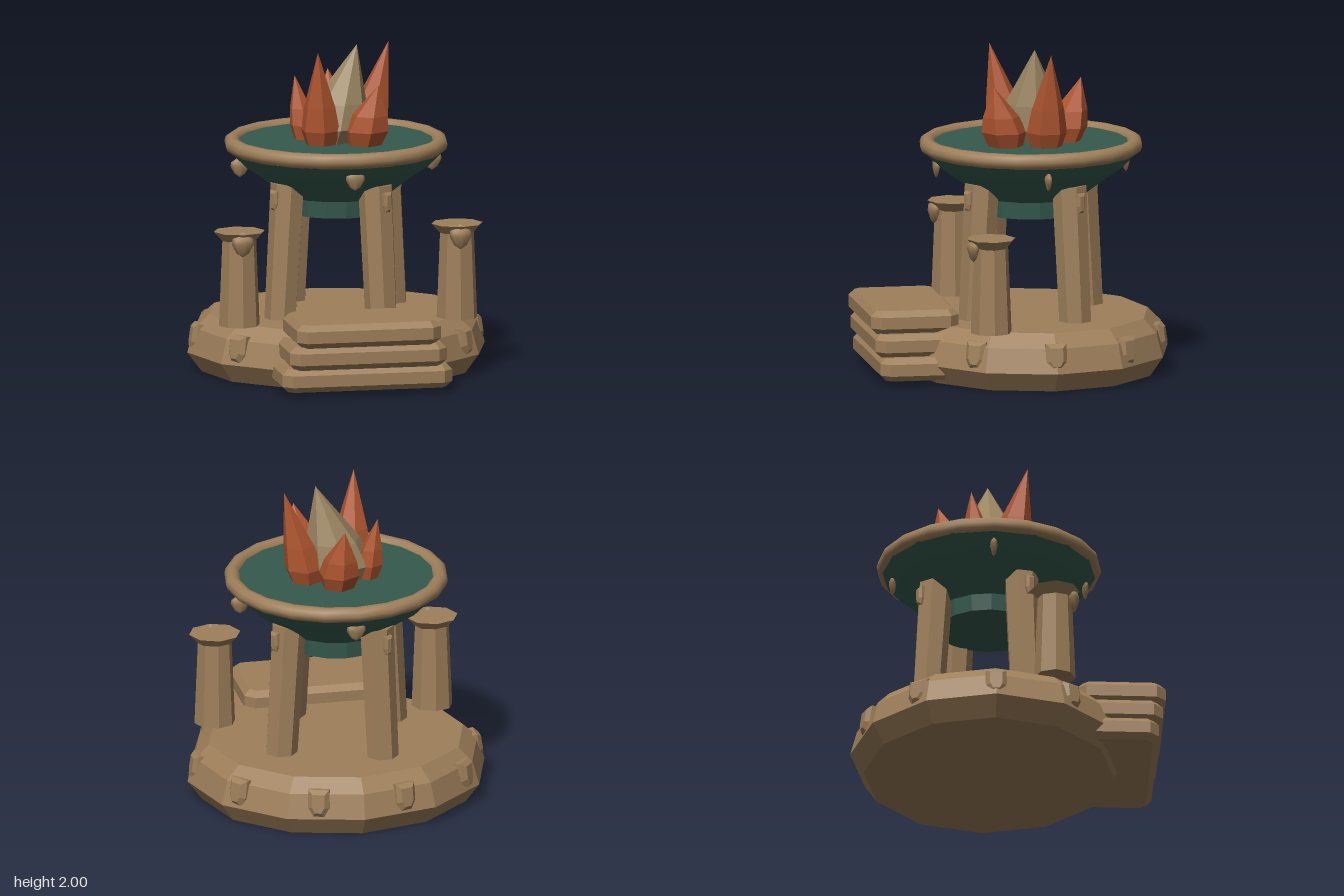
import * as THREE from 'three';

const CZ = -0.11; // z of the monument's axis

const stone = new THREE.MeshStandardMaterial({ color: 0x9e7f5a });
stone.name = 'stone';
const patina = new THREE.MeshStandardMaterial({ color: 0x35594d });
patina.name = 'patina';
const ember = new THREE.MeshStandardMaterial({ color: 0xae552f });
ember.name = 'ember';
const core = new THREE.MeshStandardMaterial({ color: 0x9a8460 });
core.name = 'flameCore';

// Gives a geometry hard facets
function flat(geometry) {
  const g = geometry.index ? geometry.toNonIndexed() : geometry;
  g.computeVertexNormals();
  return g;
}

function lathe(profile, sides) {
  return new THREE.LatheGeometry(profile.map(([r, y]) => new THREE.Vector2(r, y)), sides);
}

function add(parent, name, geometry, material, x = 0, y = 0, z = 0) {
  const mesh = new THREE.Mesh(geometry, material);
  mesh.name = name;
  mesh.position.set(x, y, z);
  parent.add(mesh);
  return mesh;
}

// Slab with every edge chamfered, resting on y = 0
function slab(width, height, depth, c) {
  const w = width / 2 - c, d = depth / 2 - c;
  const shape = new THREE.Shape([
    [w - c, -d], [w, c - d], [w, d - c], [w - c, d],
    [c - w, d], [-w, d - c], [-w, c - d], [c - w, -d],
  ].map(([x, y]) => new THREE.Vector2(x, y)));
  const g = new THREE.ExtrudeGeometry(shape, {
    depth: height - 2 * c, bevelEnabled: true, bevelSize: c, bevelThickness: c, bevelSegments: 1,
  });
  g.rotateX(-Math.PI / 2).translate(0, c, 0);
  return flat(g);
}

// Shield-shaped boss facing +z, centred on the origin
function shield(w, h, d) {
  const b = d * 0.3;
  const x = w / 2 - b, y = h / 2 - b;
  const shape = new THREE.Shape([
    [-x, y], [-x, -y * 0.4], [-x * 0.5, -y], [x * 0.5, -y], [x, -y * 0.4], [x, y],
  ].map(([px, py]) => new THREE.Vector2(px, py)));
  const g = new THREE.ExtrudeGeometry(shape, {
    depth: d - 2 * b, bevelEnabled: true, bevelSize: b, bevelThickness: b, bevelSegments: 1,
  });
  return flat(g.translate(0, 0, b - d / 2));
}

// Faceted crystal whose tip leans away from its foot
function crystal(r, tip, foot, sides) {
  const y0 = 1.4, h = tip[1] - y0;
  const g = lathe([[0, 0], [r * 0.75, 0], [r, 0.1], [r * 0.8, 0.1 + h * 0.25], [0, h]], sides);
  const p = g.attributes.position;
  for (let i = 0; i < p.count; i++) {
    const t = (p.getY(i) / h) ** 1.3;
    p.setX(i, p.getX(i) + (tip[0] - foot[0]) * t);
    p.setZ(i, p.getZ(i) + (tip[2] - foot[1]) * t);
  }
  return flat(g.translate(foot[0], y0, foot[1]));
}

// Leaning six-sided post between two points
function post(bottom, top, r0, r1) {
  const g = new THREE.CylinderGeometry(r1, r0, top.y - bottom.y, 7);
  const p = g.attributes.position, h = top.y - bottom.y;
  for (let i = 0; i < p.count; i++) {
    const t = p.getY(i) / h + 0.5;
    p.setX(i, p.getX(i) + THREE.MathUtils.lerp(bottom.x, top.x, t));
    p.setZ(i, p.getZ(i) + THREE.MathUtils.lerp(bottom.z, top.z, t));
  }
  return flat(g.translate(0, bottom.y + h / 2, 0));
}

// Teardrop knob, flattened front to back
function knob(w, h, d) {
  const g = lathe([[0, 0], [0.28, 0.16], [0.5, 0.52], [0.46, 0.72], [0.2, 0.88], [0, 1]], 8);
  return g.scale(w, h, d);
}

export function createModel() {
  const model = new THREE.Group();
  model.name = 'fireMonument';

  // Twelve-sided plinth, slightly wider than deep
  const plinth = lathe([[0, 0], [0.84, 0], [0.93, 0.12], [0.885, 0.27], [0.795, 0.353], [0, 0.353]], 12);
  add(model, 'plinth', flat(plinth.scale(1, 1, 0.914)), stone, 0, 0, CZ);

  // Ring of bosses around the plinth
  const bossShape = shield(0.13, 0.17, 0.09);
  for (let i = 0; i < 10; i++) {
    const a = (i + 0.5) * Math.PI / 5;
    const boss = add(model, 'plinthBoss', bossShape, stone,
      Math.sin(a) * 0.865, 0.215, CZ + Math.cos(a) * 0.785);
    boss.rotation.order = 'YXZ';
    boss.rotation.set(-0.15, a, 0);
  }

  // Stacked slabs at the front
  [[1.06, 0.03, 0.91], [0.98, 0.17, 0.935], [0.9, 0.31, 0.955]].forEach(([w, y, front]) => {
    add(model, 'frontSlab', slab(w, 0.145, front - 0.41, 0.036), stone, 0, y, (front + 0.41) / 2);
  });

  // Short side pillars with flared caps and knobs
  for (const s of [-1, 1]) {
    const pillar = new THREE.Group();
    pillar.name = s > 0 ? 'leftPillar' : 'rightPillar';
    pillar.position.set(s * 0.68, 0, 0.26);
    model.add(pillar);
    add(pillar, 'pillarShaft', flat(new THREE.CylinderGeometry(0.105, 0.127, 0.55, 8)), stone, 0, 0.625, 0);
    const cap = lathe([[0, 0], [0.09, 0], [0.16, 0.075], [0, 0.075]], 8);
    add(pillar, 'pillarCap', flat(cap.scale(1, 1, 0.94)), stone, 0, 0.86, 0);
    add(pillar, 'pillarKnob', knob(0.14, 0.16, 0.08), stone, 0, 0.79, 0.11);
  }

  // Four leaning legs, each with a small boss near the top
  const legBoss = shield(0.06, 0.12, 0.05);
  for (let i = 0; i < 4; i++) {
    const a = 0.49 + i * Math.PI / 2;
    const at = (r, y) => new THREE.Vector3(Math.sin(a) * r, y, CZ + Math.cos(a) * r);
    add(model, 'leg', post(at(0.44, 0.34), at(0.38, 1.19), 0.1, 0.108), stone);
    const p = at(0.485, 1.09);
    add(model, 'legBoss', legBoss, stone, p.x, p.y, p.z).rotation.y = a;
  }

  // Bowl with a filled top and a rounded rim
  const bowl = lathe([[0, 0.975], [0.31, 0.975], [0.32, 1.08], [0.45, 1.18], [0.57, 1.262],
    [0.655, 1.35], [0.63, 1.41], [0, 1.41]], 16);
  add(model, 'bowl', flat(bowl), patina, 0, 0, CZ);
  const rim = new THREE.TorusGeometry(0.64, 0.048, 10, 20).rotateX(Math.PI / 2);
  add(model, 'bowlRim', rim, stone, 0, 1.392, CZ);

  // Knobs on the four sides of the bowl
  for (const [x, z] of [[0.6, 0], [-0.6, 0], [0, 0.59], [0, -0.59]]) {
    add(model, 'bowlKnob', knob(0.12, 0.13, 0.045), stone, x, 1.2, CZ + z);
  }

  // Flame: a pale core crystal circled by five red ones
  add(model, 'flameCore', crystal(0.21, [0.13, 2, -0.11], [-0.03, -0.11], 8), core);
  const flames = [
    [0.125, [-0.16, 2, 0.12], [-0.12, 0.01]],
    [0.125, [0.34, 2, -0.175], [0.2, -0.17]],
    [0.14, [0.21, 1.79, 0.16], [0.14, 0.07]],
    [0.13, [0.01, 1.8, -0.42], [0.03, -0.31]],
    [0.085, [-0.235, 1.8, -0.23], [-0.18, -0.19]],
  ];
  flames.forEach(([r, tip, foot]) => add(model, 'flameShard', crystal(r, tip, foot, 6), ember));

  return model;
}
